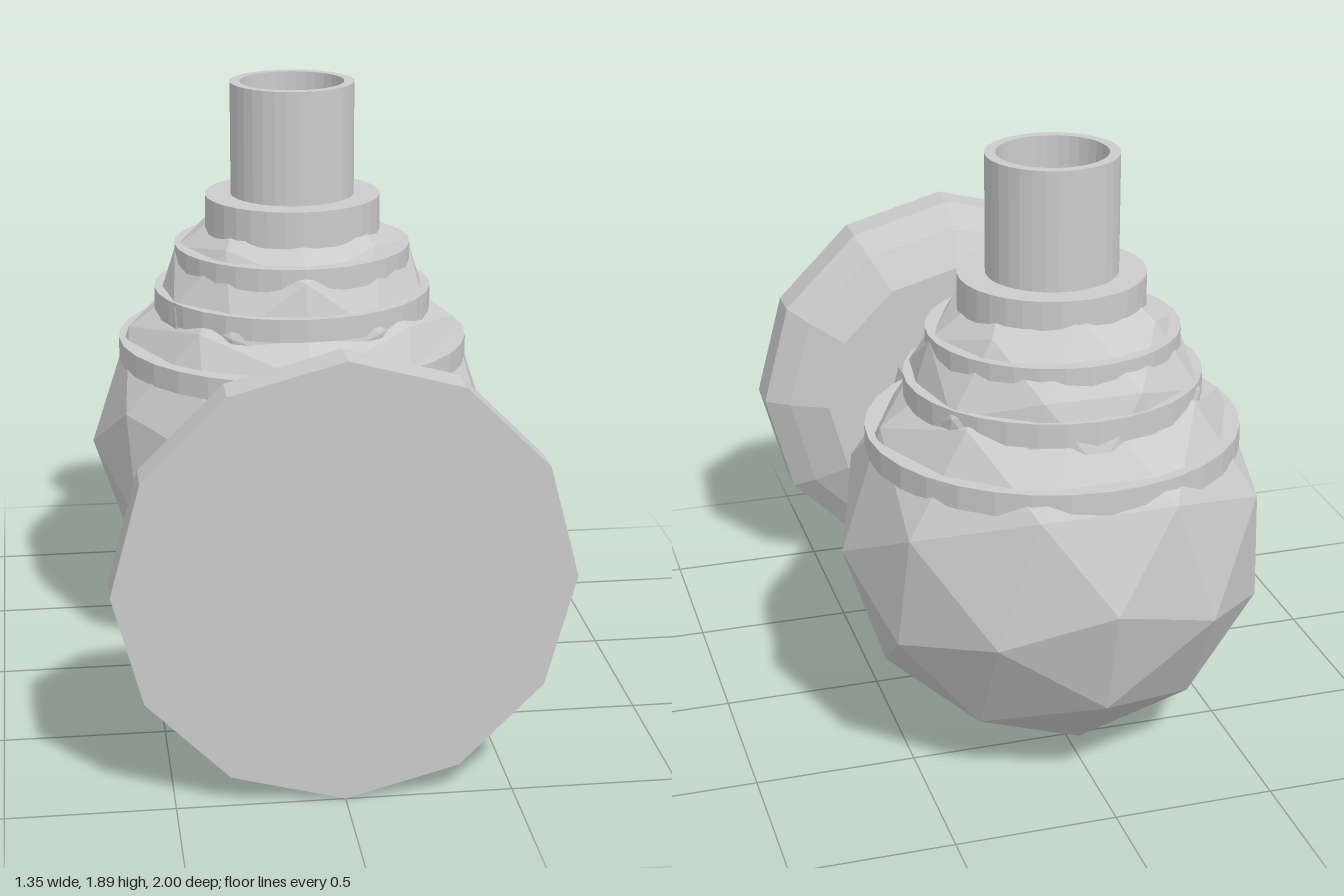
import * as THREE from 'three';

const material = new THREE.MeshStandardMaterial({ color: 0xcccccc, flatShading: true, side: THREE.DoubleSide });

const AXIS_Z = -0.34; // vertical axis of the body
const DEPTH = 0.97;   // the body is slightly shallower than wide

function add(parent, name, geometry, x = 0, y = 0, z = 0) {
  const mesh = new THREE.Mesh(geometry, material);
  mesh.name = name;
  mesh.position.set(x, y, z);
  parent.add(mesh);
  return mesh;
}

function lathe(points, sides) {
  return new THREE.LatheGeometry(points.map(([r, y]) => new THREE.Vector2(r, y)), sides);
}

// Faceted ball with one icosahedron corner on the z axis
function facetedBall(radius) {
  const tilt = Math.atan(2 / (1 + Math.sqrt(5)));
  return new THREE.IcosahedronGeometry(radius, 1).rotateX(-tilt).scale(1, 1, DEPTH);
}

export function createModel() {
  const model = new THREE.Group();
  model.name = 'wallKnob';

  // Twelve-sided wall plate with a stepped bevel at the back
  const plate = lathe([[0, 0.755], [0.475, 0.755], [0.6, 0.82], [0.677, 0.88], [0.677, 1], [0, 1]], 12);
  add(model, 'wallPlate', plate.rotateX(Math.PI / 2), 0, 0.678, 0);

  // Stem joining plate and ball
  const stem = new THREE.CylinderGeometry(0.255, 0.255, 0.72, 12);
  add(model, 'stem', stem.rotateX(Math.PI / 2), 0, 0.678, 0.42);

  // Main ball and the smaller one rising from it
  add(model, 'mainBall', facetedBall(0.675), 0, 0.678, -0.345);
  add(model, 'upperBall', facetedBall(0.48), 0, 1.06, -0.345);

  // Stacked collars: radius, bottom, top, z
  const collars = [
    [0.58, 0.965, 1.04, AXIS_Z],
    [0.459, 1.135, 1.21, AXIS_Z],
    [0.39, 1.28, 1.355, AXIS_Z],
    [0.288, 1.4, 1.52, -0.328],
  ];
  collars.forEach(([r, bottom, top, z], i) => {
    const collar = new THREE.CylinderGeometry(r, r, top - bottom, 32).scale(1, 1, DEPTH);
    add(model, `collar${i + 1}`, collar, 0, (bottom + top) / 2, z);
  });

  // Hollow neck
  const neck = lathe([[0.203, 1.5], [0.203, 1.89], [0.17, 1.89], [0.17, 1.525], [0, 1.525]], 32);
  add(model, 'neck', neck.scale(1, 1, DEPTH), 0, 0, -0.33);

  return model;
}
